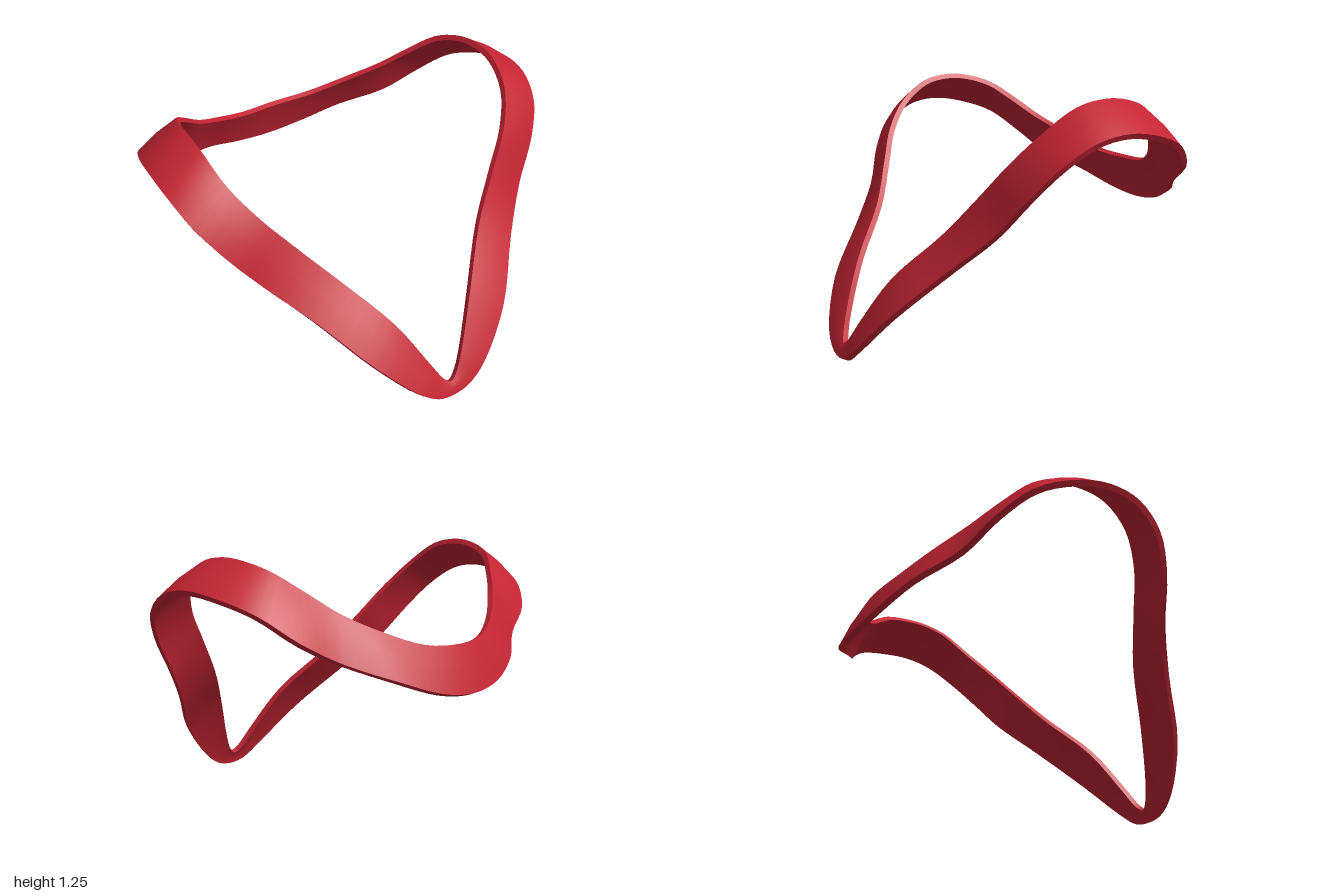
import * as THREE from 'three';
import { mergeGeometries } from 'three/addons/utils/BufferGeometryUtils.js';

// Half of the band from back to front: upper rim x, y, z then lower rim x, y, z
const SECTIONS = [
  [0, 0.86, -0.755, 0, 0.65, -0.84],
  [0.2, 0.875, -0.725, 0.2, 0.675, -0.82],
  [0.38, 0.94, -0.645, 0.4, 0.745, -0.75],
  [0.53, 1.02, -0.545, 0.6, 0.83, -0.62],
  [0.65, 1.12, -0.44, 0.78, 0.93, -0.55],
  [0.74, 1.2, -0.34, 0.9, 1.04, -0.43],
  [0.785, 1.24, -0.22, 0.97, 1.1, -0.27],
  [0.8, 1.25, -0.1, 1, 1.125, -0.1],
  [0.8, 1.22, 0.04, 1, 1.095, 0.06],
  [0.77, 1.12, 0.18, 0.96, 1.0, 0.2],
  [0.68, 0.98, 0.295, 0.87, 0.865, 0.3],
  [0.56, 0.83, 0.375, 0.73, 0.69, 0.39],
  [0.4, 0.64, 0.48, 0.57, 0.52, 0.53],
  [0.22, 0.42, 0.65, 0.38, 0.295, 0.72],
  [0.09, 0.19, 0.765, 0.19, 0.1, 0.82],
  [0.035, 0.1, 0.8, 0.09, 0.03, 0.838],
  [0, 0.075, 0.812, 0, 0.012, 0.84],
];
const STEPS = 4; // samples between sections
const THICKNESS = 0.028;
const BULGE = 0.008;

// Smooth closed rim curve, mirrored across x = 0
function rimPoints(offset) {
  const half = SECTIONS.map((s) => new THREE.Vector3(s[offset], s[offset + 1], s[offset + 2]));
  const mirrored = half.slice(1, -1).reverse().map((p) => new THREE.Vector3(-p.x, p.y, p.z));
  const all = [...half, ...mirrored];
  const curve = new THREE.CatmullRomCurve3(all, true, 'centripetal');
  const n = all.length * STEPS;
  return Array.from({ length: n }, (_, i) => curve.getPoint(i / n));
}

// Closed surface across successive rows of points
function strip(rows) {
  const n = rows[0].length;
  const index = [];
  for (let j = 0; j < rows.length - 1; j++) {
    for (let i = 0; i < n; i++) {
      const k = (i + 1) % n;
      const a = j * n + i, b = j * n + k, c = a + n, d = b + n;
      index.push(a, b, c, b, d, c);
    }
  }
  const geometry = new THREE.BufferGeometry().setFromPoints(rows.flat());
  geometry.setIndex(index);
  geometry.computeVertexNormals();
  return geometry;
}

export function createModel() {
  const red = new THREE.MeshStandardMaterial({ color: 0xc42433 });
  red.name = 'red';

  const upper = rimPoints(0);
  const lower = rimPoints(3);
  const n = upper.length;
  const middle = upper.map((p, i) => p.clone().lerp(lower[i], 0.5));

  // Outward direction of the band at each sample
  const normals = middle.map((_, i) => {
    const tangent = middle[(i + 1) % n].clone().sub(middle[(i + n - 1) % n]);
    return tangent.cross(lower[i].clone().sub(upper[i])).normalize();
  });
  const shift = (row, d) => row.map((p, i) => p.clone().addScaledVector(normals[i], d));

  const upperIn = shift(upper, -THICKNESS);
  const lowerIn = shift(lower, -THICKNESS);

  // Separate strips keep the rim edges sharp and the faces smooth
  const band = new THREE.Mesh(mergeGeometries([
    strip([upper, shift(middle, BULGE), lower]),
    strip([lower, lowerIn]),
    strip([lowerIn, shift(middle, BULGE - THICKNESS), upperIn]),
    strip([upperIn, upper]),
  ]), red);
  band.name = 'curvedBand';

  const model = new THREE.Group();
  model.name = 'ribbonLoop';
  model.add(band);
  return model;
}
